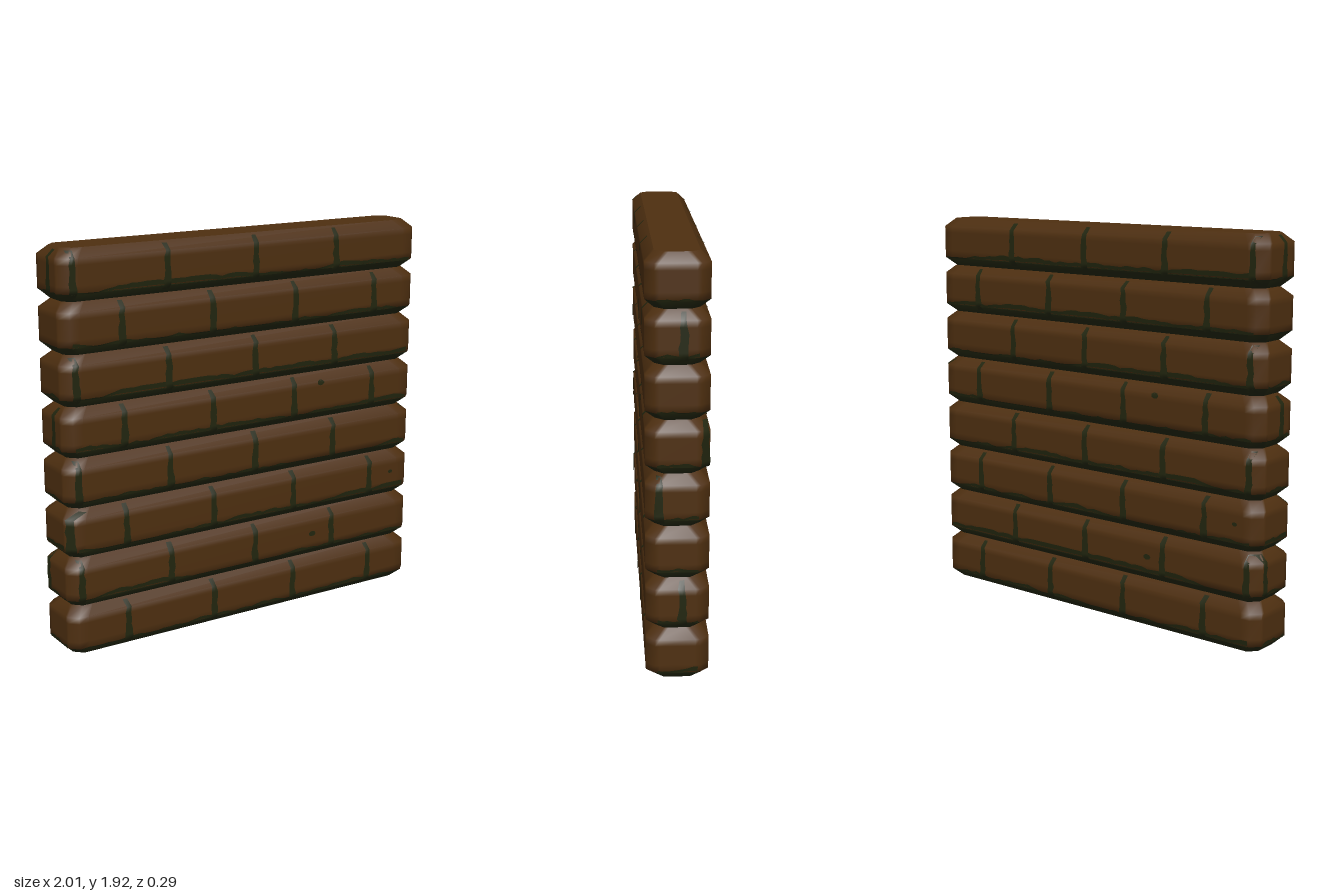
import * as THREE from 'three';

const ROWS = 8, H = 0.2406, BEVEL = 0.042, CUT = 0.04;
const HALF_X = 1, HALF_Z = 0.14;

// Small seeded generator for the ragged mortar edges
function seeded(seed) {
  return () => {
    seed = (seed * 16807) % 2147483647;
    return seed / 2147483647;
  };
}

// How far the course surface is set back at height y within its row
const insetAt = (y) => Math.max(0, BEVEL - y, y - (H - BEVEL));

// Outline of a course seen from above, corners cut, counter-clockwise from +z
function outline(inset) {
  const x = HALF_X - inset, z = HALF_Z - inset;
  const corner = [[x - 0.09, z], [x - CUT, z], [x, z - CUT], [x, z - 0.06]];
  const flip = (sx, sz) => corner.map(([a, b]) => [a * sx, b * sz]);
  return [...flip(1, 1), ...flip(1, -1).reverse(), ...flip(-1, -1), ...flip(-1, 1).reverse()];
}

// One bevelled course; its lower bevel is the mortar bed
function courseGeometry() {
  const levels = [0, BEVEL, 0.075, 0.168, H - BEVEL, H];
  const pos = [], index = [];
  for (const y of levels) for (const [x, z] of outline(insetAt(y))) pos.push(x, y, z);
  const n = pos.length / 3 / levels.length;
  for (let r = 0; r < levels.length - 1; r++) {
    for (let i = 0; i < n; i++) {
      const a = r * n + i, b = r * n + (i + 1) % n;
      index.push(a, b, b + n, a, b + n, a + n);
    }
  }
  const g = new THREE.BufferGeometry();
  g.setAttribute('position', new THREE.Float32BufferAttribute(pos, 3));
  g.setIndex(index);
  g.computeVertexNormals();
  g.addGroup(0, n * 6, 1);
  g.addGroup(n * 6, index.length - n * 6, 0);
  return g;
}

// Flat end of the wall, facing up
function capGeometry() {
  const shape = new THREE.Shape(outline(BEVEL).map(([x, z]) => new THREE.Vector2(x, -z)));
  return new THREE.ShapeGeometry(shape).rotateX(-Math.PI / 2);
}

// Lay a flat (u, y) patch over the course surface of one wall side
function drape(g, half, depth) {
  const p = g.attributes.position;
  for (let i = 0; i < p.count; i++) {
    const inset = insetAt(p.getY(i));
    const past = Math.max(0, Math.abs(p.getX(i)) - (half - inset - CUT));
    p.setZ(i, depth - inset - past + 0.003);
  }
  g.computeVertexNormals();
  return g;
}

// Uneven upright joint, wider at the foot
function jointGeometry(u, width, rand) {
  const heights = [0.02, BEVEL, 0.06, 0.085, 0.11, 0.14, 0.17, H - BEVEL, H - 0.01];
  const g = new THREE.PlaneGeometry(1, 1, 2, heights.length - 1);
  const p = g.attributes.position;
  for (let r = 0; r < heights.length; r++) {
    const y = heights[heights.length - 1 - r];
    const w = width * (0.62 + 0.5 * (1 - y / H) + 0.25 * (rand() - 0.5));
    const mid = u + (rand() - 0.5) * 0.008;
    for (let c = 0; c < 3; c++) p.setXY(r * 3 + c, mid + (c - 1) * w / 2, y);
  }
  return g;
}

// Mortar squeezed up from the bed with a ragged upper edge
function bedGeometry(half, rand) {
  const steps = Math.max(8, Math.round(half * 56));
  const g = new THREE.PlaneGeometry(1, 1, steps, 1);
  const p = g.attributes.position;
  const span = half - 0.05;
  let rise = 0.01;
  for (let i = 0; i <= steps; i++) {
    rise = THREE.MathUtils.clamp(rise + (rand() - 0.52) * 0.018, 0.001, 0.028);
    const u = -span + 2 * span * i / steps;
    p.setXY(i, u, BEVEL + rise);
    p.setXY(steps + 1 + i, u, BEVEL - 0.004);
  }
  return g;
}

// Small chip in a brick face
function chipGeometry(u, y, size) {
  return new THREE.CircleGeometry(size, 7).scale(1.2, 0.8, 1).translate(u, y, 0);
}

export function createModel() {
  const brick = new THREE.MeshStandardMaterial({ color: 0x4e2f10 });
  brick.name = 'brownBrick';
  const mortar = new THREE.MeshStandardMaterial({ color: 0x22260f });
  mortar.name = 'mossyMortar';

  const wall = new THREE.Group();
  wall.name = 'brickWall';
  const rand = seeded(4217);
  const course = courseGeometry();

  // Sides: joint positions run along u, to the viewer's right of each face
  const even = [-0.7, -0.22, 0.25, 0.73], odd = [-0.94, -0.46, 0.02, 0.49];
  const mirrored = (list) => list.map((u) => -u);
  const endJoints = [[], [0.02], [], [-0.08], [0.12], [], [0.025], []];
  const sides = [
    { name: 'front', turn: 0, half: HALF_X, depth: HALF_Z, joints: (r) => (r % 2 ? odd : even) },
    { name: 'back', turn: Math.PI, half: HALF_X, depth: HALF_Z, joints: (r) => mirrored(r % 2 ? odd : even) },
    { name: 'leftEnd', turn: Math.PI / 2, half: HALF_Z, depth: HALF_X, joints: (r) => endJoints[r] },
    { name: 'rightEnd', turn: -Math.PI / 2, half: HALF_Z, depth: HALF_X, joints: (r) => endJoints[(r + 2) % ROWS] },
  ];

  for (let r = 0; r < ROWS; r++) {
    const row = new THREE.Group();
    row.name = `course${r + 1}`;
    row.position.y = r * H;
    const body = new THREE.Mesh(course, [brick, mortar]);
    body.name = 'brickCourse';
    row.add(body);

    for (const s of sides) {
      const add = (g, name) => {
        const m = new THREE.Mesh(drape(g, s.half, s.depth), mortar);
        m.name = `${s.name}${name}`;
        m.rotation.y = s.turn;
        row.add(m);
      };
      add(bedGeometry(s.half, rand), 'MortarBed');
      for (const u of s.joints(r)) add(jointGeometry(u, 0.038, rand), 'MortarJoint');
    }
    wall.add(row);
  }

  // Chips on the front and back faces: row, u, height in row, size
  const chips = [[4, 0.41, 0.19, 0.018], [2, 0.87, 0.13, 0.012], [1, 0.37, 0.12, 0.018]];
  for (const [r, u, y, size] of chips) {
    for (const s of sides.slice(0, 2)) {
      const chip = new THREE.Mesh(drape(chipGeometry(u, y, size), s.half, s.depth), mortar);
      chip.name = `${s.name}Chip`;
      chip.rotation.y = s.turn;
      wall.children[r].add(chip);
    }
  }

  // Flat top and underside
  const top = new THREE.Mesh(capGeometry(), brick);
  top.name = 'wallTop';
  top.position.y = ROWS * H;
  const underside = new THREE.Mesh(capGeometry().rotateX(Math.PI), brick);
  underside.name = 'wallUnderside';
  wall.add(top, underside);

  return wall;
}
